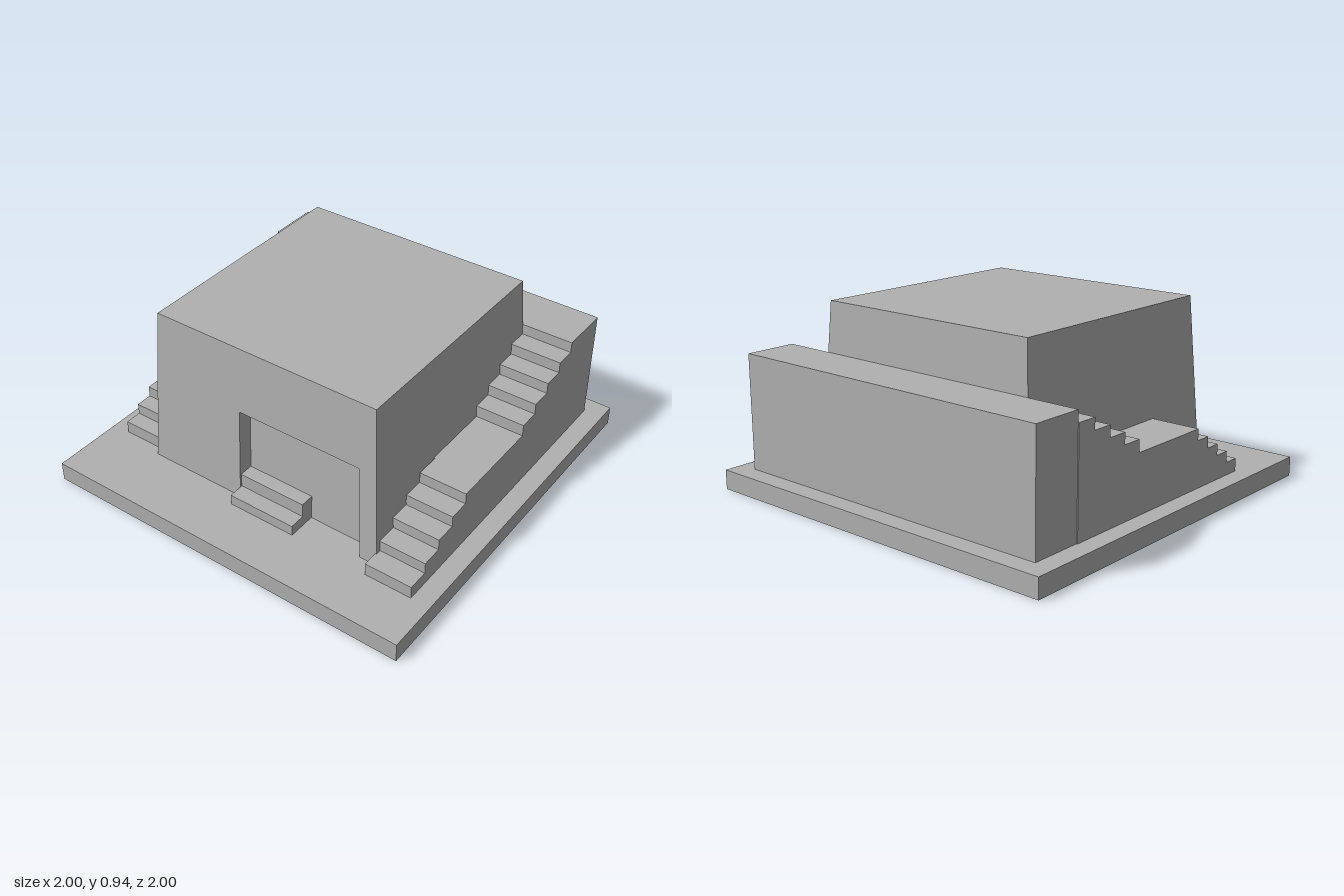
import * as THREE from 'three';

const BASE = 0.1, ROOF = 0.94, DOOR_TOP = 0.595, DOOR_DEPTH = 0.08;

// Half width of the tapering tower at height y
const half = (y) => 0.665 - 0.05 * (y - BASE) / (ROOF - BASE);

// Flat-sided geometry from four-cornered faces, corners counter-clockwise
function quads(faces) {
  const points = faces.flatMap(([a, b, c, d]) => [a, b, c, a, c, d]).flat();
  const geometry = new THREE.BufferGeometry();
  geometry.setAttribute('position', new THREE.Float32BufferAttribute(points, 3));
  geometry.computeVertexNormals();
  return geometry;
}

// Tapered tower with a shallow doorway sunk into the front
function towerGeometry() {
  const front = (x, y, inset = 0) => [x, y, half(y) - inset];
  const corner = (sx, sz, y) => [sx * half(y), y, sz * half(y)];
  const L = -0.13, R0 = 0.57, R1 = 0.545, D = DOOR_DEPTH;
  const side = (ax, az, bx, bz) => [
    corner(ax, az, BASE), corner(bx, bz, BASE), corner(bx, bz, ROOF), corner(ax, az, ROOF)];
  return quads([
    side(1, 1, 1, -1), side(1, -1, -1, -1), side(-1, -1, -1, 1),
    [corner(-1, 1, ROOF), corner(1, 1, ROOF), corner(1, -1, ROOF), corner(-1, -1, ROOF)],
    // front wall around the doorway
    [corner(-1, 1, BASE), front(L, BASE), front(L, ROOF), corner(-1, 1, ROOF)],
    [front(L, DOOR_TOP), front(R1, DOOR_TOP), front(R1, ROOF), front(L, ROOF)],
    [front(R0, BASE), corner(1, 1, BASE), corner(1, 1, DOOR_TOP), front(R1, DOOR_TOP)],
    [front(R1, DOOR_TOP), corner(1, 1, DOOR_TOP), corner(1, 1, ROOF), front(R1, ROOF)],
    // doorway back, jambs and lintel
    [front(L, BASE, D), front(R0, BASE, D), front(R1, DOOR_TOP, D), front(L, DOOR_TOP, D)],
    [front(L, BASE), front(L, BASE, D), front(L, DOOR_TOP, D), front(L, DOOR_TOP)],
    [front(R0, BASE, D), front(R0, BASE), front(R1, DOOR_TOP), front(R1, DOOR_TOP, D)],
    [front(L, DOOR_TOP), front(L, DOOR_TOP, D), front(R1, DOOR_TOP, D), front(R1, DOOR_TOP)],
  ]);
}

// Solid stair: steps are [front z, tread height], running back to zBack
function stairGeometry(steps, zBack, x0, x1) {
  const shape = new THREE.Shape();
  shape.moveTo(-steps[0][0], BASE);
  steps.forEach(([z, y], i) => {
    shape.lineTo(-z, y);
    shape.lineTo(-(i + 1 < steps.length ? steps[i + 1][0] : zBack), y);
  });
  shape.lineTo(-zBack, BASE);
  shape.closePath();
  const geometry = new THREE.ExtrudeGeometry(shape, { depth: x1 - x0, bevelEnabled: false });
  return geometry.rotateY(Math.PI / 2).translate(x0, 0, 0);
}

export function createModel() {
  const model = new THREE.Group();
  model.name = 'steppedHouse';
  const stone = new THREE.MeshStandardMaterial({ color: 0xb0b0b0 });
  stone.name = 'stone grey';

  const add = (name, geometry) => {
    const mesh = new THREE.Mesh(geometry, stone);
    mesh.name = name;
    model.add(mesh);
  };
  const box = (name, x0, x1, y0, y1, z0, z1) => add(name,
    new THREE.BoxGeometry(x1 - x0, y1 - y0, z1 - z0)
      .translate((x0 + x1) / 2, (y0 + y1) / 2, (z0 + z1) / 2));

  box('basePlate', -1, 1, 0, BASE, -1, 1);
  add('tower', towerGeometry());
  box('backTerrace', -0.9, 0.9, BASE, 0.686, -0.9, -0.63);

  // Door steps
  box('lowerDoorStep', -0.13, 0.236, BASE, 0.155, 0.6, 0.733);
  box('upperDoorStep', -0.13, 0.236, BASE, 0.228, 0.56, 0.65);

  // Flights climb five steps to a landing, then four more to the terrace
  const flight = (zStart, run, yStart, count) => Array.from({ length: count },
    (_, i) => [zStart - run * i, yStart + 0.0575 * i]);
  const upper = flight(-0.198, 0.108, 0.458, 4);

  add('leftLowerStairs', stairGeometry(flight(0.74, 0.108, 0.166, 5), 0.18, 0.653, 0.9));
  add('leftLanding', stairGeometry([[0.18, 0.396]], -0.198, 0.6, 0.9));
  add('leftUpperStairs', stairGeometry(upper, -0.63, 0.6, 0.9));

  add('rightLowerStairs', stairGeometry(flight(0.624, 0.087, 0.166, 5), -0.198, -0.905, -0.6));
  add('rightUpperStairs', stairGeometry(upper, -0.63, -0.905, -0.6));
  return model;
}
